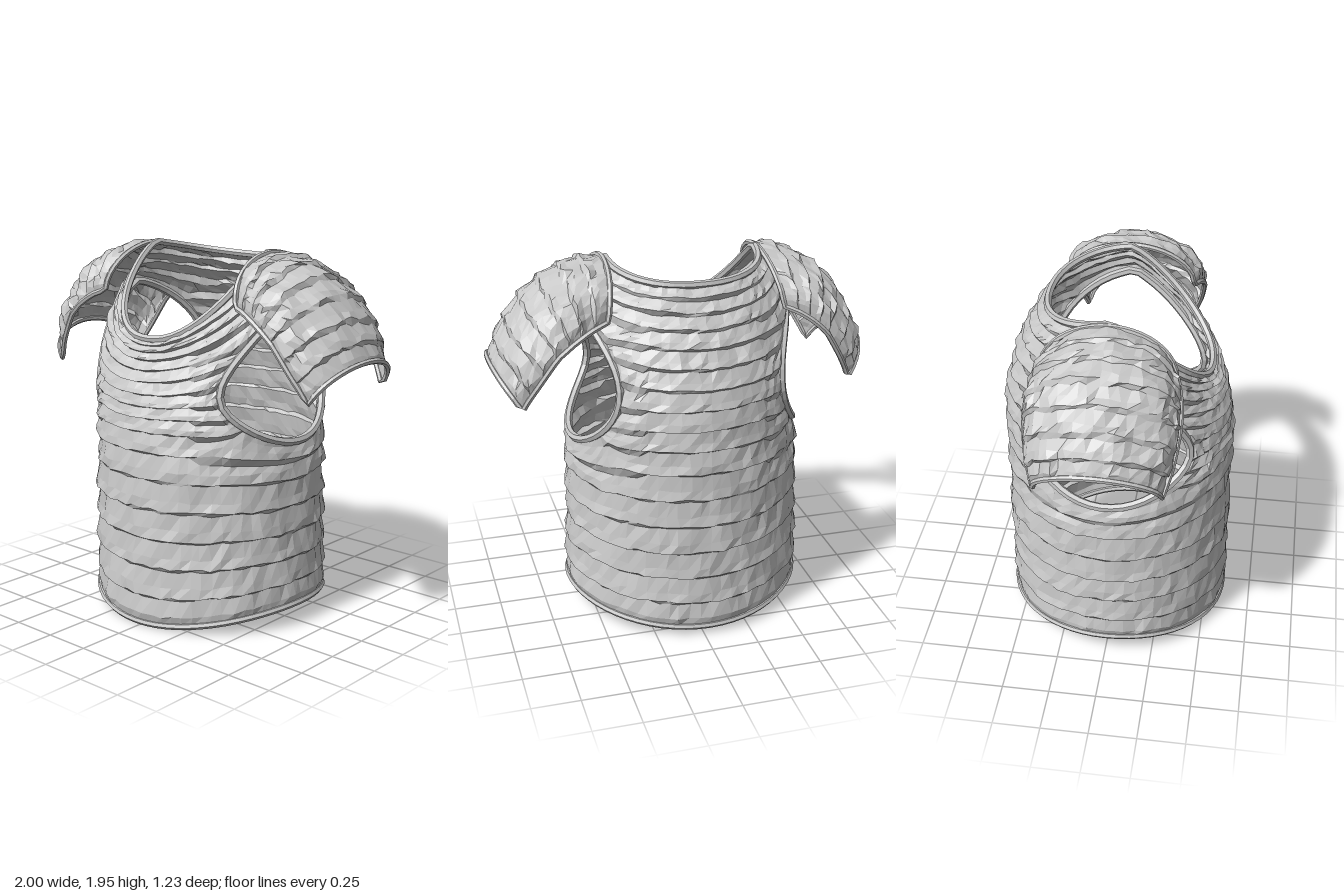
import * as THREE from 'three';

const steel = new THREE.MeshStandardMaterial({ color: 0xc8c8c8, side: THREE.DoubleSide });
steel.name = 'plain grey steel';

const V = (x, y, z) => new THREE.Vector3(x, y, z);
const mix = THREE.MathUtils.lerp;

// repeatable noise in -1..1 for the hammered, uneven scales
function noise(a, b, c = 0) {
  const s = Math.sin(a * 127.1 + b * 311.7 + c * 74.7) * 43758.5453;
  return (s - Math.floor(s)) * 2 - 1;
}

function flatMesh(name, geometry) {
  const g = geometry.index ? geometry.toNonIndexed() : geometry;
  g.computeVertexNormals();
  const mesh = new THREE.Mesh(g, steel);
  mesh.name = name;
  return mesh;
}

// facetted sheet from point(i, j); keep(i, j) can leave cells open
function sheet(name, nu, nv, point, keep = () => true, flip = false) {
  const pos = [], index = [];
  for (let j = 0; j <= nv; j++)
    for (let i = 0; i <= nu; i++) pos.push(...point(i, j).toArray());
  for (let j = 0; j < nv; j++)
    for (let i = 0; i < nu; i++) {
      if (!keep(i, j)) continue;
      const a = j * (nu + 1) + i, b = a + 1, c = a + nu + 1, d = c + 1;
      if (flip) index.push(a, b, c, b, d, c);
      else index.push(a, c, b, b, c, d);
    }
  const g = new THREE.BufferGeometry();
  g.setAttribute('position', new THREE.Float32BufferAttribute(pos, 3));
  g.setIndex(index);
  return flatMesh(name, g);
}

function rim(name, points, radius, segments) {
  const curve = new THREE.CatmullRomCurve3(points, true);
  return flatMesh(name, new THREE.TubeGeometry(curve, segments, radius, 6, true));
}

// rings from hem to neck: [y side, drop front, drop back, half width, depth front, depth back]
const RINGS = [
  [0.12, 0.1, 0.07, 0.635, 0.59, 0.59],
  [0.55, 0.02, 0.02, 0.62, 0.585, 0.585],
  [1.0, 0, 0, 0.605, 0.585, 0.585],
  [1.4, 0.18, 0.05, 0.595, 0.575, 0.58],
  [1.75, 0.35, 0.1, 0.53, 0.53, 0.49],
  [1.935, 0.425, 0.07, 0.395, 0.475, 0.36],
];
const SHIFT = -0.03;

// smooth torso surface: angle a (front at PI / 2), height v from 0 to 1
function torso(a, v) {
  const c = Math.cos(a), s = Math.sin(a), f = Math.abs(s);
  const pts = RINGS.map(([y, df, db, w, zf, zb], k) => {
    const p = k === 5 ? 0.88 : 1;
    const drop = (s > 0 ? df : db) * Math.pow(f, k < 2 ? 2 : 1.1);
    return V(
      SHIFT + w * Math.sign(c) * Math.pow(Math.abs(c), p), y - drop,
      (s > 0 ? zf : zb) * Math.sign(s) * Math.pow(f, p));
  });
  return new THREE.CatmullRomCurve3(pts, false, 'catmullrom', 0.5).getPoint(v);
}

const COLS = 72, ROWS = 48, ARM_ROW = 28, BLOCK = 12, OPEN = 7, ARM_R = 9;
const angleOf = (i) => (i / COLS) * Math.PI * 2;

// offset in columns from the nearer arm (arms lie at columns 0 and COLS / 2)
function fromArm(i) {
  const half = COLS / 2;
  const arm = Math.round(i / half) * half;
  return [i - arm, arm];
}

// one vertex of the scale coat, with grid lines bent round the armholes
function coatPoint(i, j) {
  const [di, arm] = fromArm(i);
  const dj = j - ARM_ROW;
  const rad = Math.max(Math.abs(di), Math.abs(dj));
  const lip = j % 3;
  let u = i, v = j + (lip === 2 ? 0.7 : 0);
  let inBlock = rad < BLOCK && rad > 0;
  if (inBlock) {
    const q = Math.max(0, (rad - OPEN) / (BLOCK - OPEN));
    const h = Math.hypot(di, dj);
    u = arm + mix((di / h) * ARM_R, (di / rad) * BLOCK, q);
    v = ARM_ROW + mix((dj / h) * ARM_R, (dj / rad) * BLOCK, q);
  }
  const k = i % COLS;
  const border = j === 0 || j === ROWS || rad === OPEN;
  if (!border) {
    u += noise(k, j, 1) * 0.22;
    if (!inBlock) v += noise(k, j, 2) * 0.12;
  }
  const p = torso(angleOf(u), Math.min(1, v / ROWS));
  if (border) return p;
  // each row stands out at its lower edge and tucks under the next
  const scale = noise(Math.floor(k / 3), Math.floor(j / 3), 3);
  const out = [0.02, 0.012, 0][lip] + scale * 0.006 + noise(k, j, 4) * 0.006;
  const dir = V(p.x - SHIFT, Math.max(0, p.y - 1.25), p.z).normalize();
  return p.addScaledVector(dir, out);
}

function coatCell(i, j) {
  const [d] = fromArm(i + 0.5);
  return Math.max(Math.abs(d), Math.abs(j + 0.5 - ARM_ROW)) > OPEN;
}

function loop(n, fn) {
  return Array.from({ length: n }, (_, k) => fn((k / n) * Math.PI * 2));
}

// shoulder stations: crown x, y; edge x, y; half depth
const PAD = [
  [0.41, 1.935, 0.46, 1.70, 0.33], [0.55, 1.92, 0.54, 1.67, 0.355],
  [0.70, 1.85, 0.62, 1.62, 0.37], [0.83, 1.73, 0.70, 1.55, 0.37],
  [0.93, 1.58, 0.79, 1.41, 0.35], [0.985, 1.45, 0.865, 1.28, 0.31],
];
const PAD_U = 24, PAD_V = 21;

function padSurface(side, s, t) {
  const x = Math.min(s, 0.99999) * 5, k = Math.floor(x), f = x - k;
  const [cx, cy, ex, ey, w] = PAD[k].map((n, m) => mix(n, PAD[k + 1][m], f));
  const a = (t - 0.5) * Math.PI, c = Math.cos(a);
  return V(side * mix(ex, cx, c) + SHIFT * (1 - s), mix(ey, cy, c), w * Math.sin(a));
}

function shoulder(side) {
  const group = new THREE.Group();
  group.name = side > 0 ? 'leftShoulderGuard' : 'rightShoulderGuard';
  const point = (i, j) => {
    const border = i === 0 || j === 0 || i === PAD_U || j === PAD_V;
    let s = j, t = i;
    if (!border) {
      s += noise(i, j, 5 + side) * 0.25 + (j % 3 === 1 ? -0.5 : 0);
      t += noise(i, j, 8 + side) * 0.3;
    }
    const p = padSurface(side, s / PAD_V, t / PAD_U);
    if (border) return p;
    const plate = noise(Math.floor(i / 2), Math.floor(j / 3), 11 + side);
    const out = [0.016, 0, 0.008][j % 3] + plate * 0.01 + noise(i, j, 14) * 0.006;
    return p.addScaledVector(V(p.x - side * 0.45, p.y - 1.3, p.z).normalize(), out);
  };
  group.add(sheet('shoulderScales', PAD_U, PAD_V, point, undefined, side > 0));

  // raised border around all four edges
  const edge = [], n = 12;
  for (let k = 0; k < n; k++) edge.push(padSurface(side, 0, k / n));
  for (let k = 0; k < n; k++) edge.push(padSurface(side, k / n, 1));
  for (let k = 0; k < n; k++) edge.push(padSurface(side, 1, 1 - k / n));
  for (let k = 0; k < n; k++) edge.push(padSurface(side, 1 - k / n, 0));
  group.add(rim('shoulderBorder', edge, 0.015, 72));
  return group;
}

export function createModel() {
  const model = new THREE.Group();
  model.name = 'scaleArmour';

  model.add(sheet('scaleCoat', COLS, ROWS, coatPoint, coatCell));

  // bound edges of the neck, hem and armholes
  model.add(rim('neckBinding', loop(48, (a) => torso(a, 1)), 0.02, 60));
  model.add(rim('hemBinding', loop(48, (a) => torso(a, 0)), 0.018, 60));
  for (const side of [1, -1]) {
    const arm = side > 0 ? 0 : COLS / 2;
    const points = loop(32, (a) => torso(
      angleOf(arm + Math.cos(a) * ARM_R), (ARM_ROW + Math.sin(a) * ARM_R) / ROWS));
    model.add(rim(side > 0 ? 'leftArmholeBinding' : 'rightArmholeBinding', points, 0.022, 44));
    model.add(shoulder(side));
  }
  return model;
}
